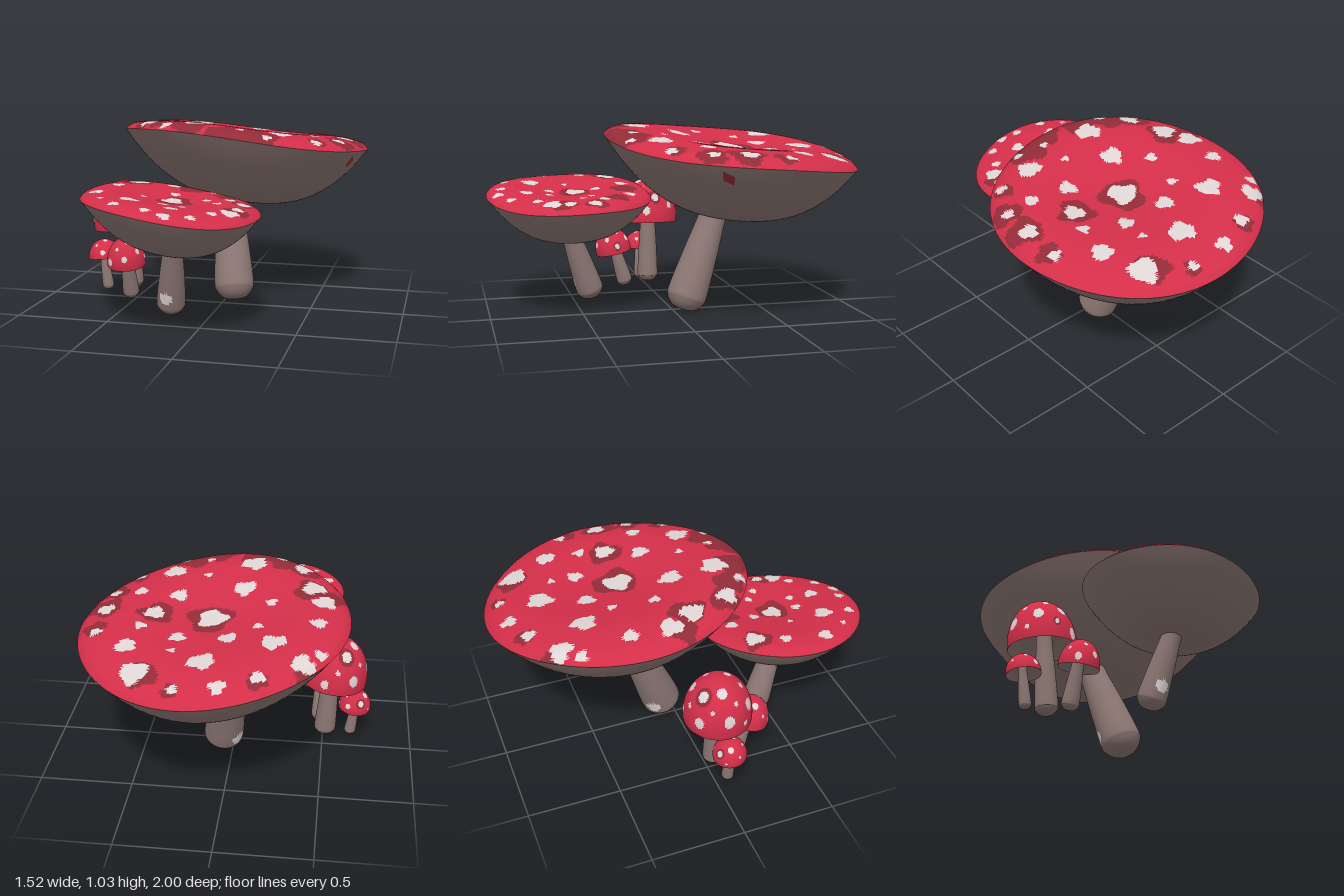
import * as THREE from 'three';

const mat = (name, color) => Object.assign(new THREE.MeshStandardMaterial({ color }), { name });
const V = (x, y, z) => new THREE.Vector3(x, y, z);

// Sort the faces into material groups; pick(centroid) returns a material index
function paint(geo, pick, count) {
  const idx = geo.index.array, pos = geo.attributes.position, lists = Array.from({ length: count }, () => []);
  const a = V(), b = V();
  for (let i = 0; i < idx.length; i += 3) {
    a.set(0, 0, 0);
    for (let k = 0; k < 3; k++) a.add(b.fromBufferAttribute(pos, idx[i + k]));
    lists[pick(a.divideScalar(3))].push(idx[i], idx[i + 1], idx[i + 2]);
  }
  geo.setIndex(lists.flat());
  let start = 0;
  lists.forEach((l, m) => { if (l.length) geo.addGroup(start, l.length, m); start += l.length; });
  return geo;
}

// Round surface from rings: f(t, angle) with t from centre (0) to rim (1)
function disc(f, rings, segs, down) {
  const p = [], idx = [];
  for (let i = 0; i <= rings; i++)
    for (let j = 0; j < segs; j++) p.push(...f(i / rings, j / segs * Math.PI * 2));
  for (let i = 0; i < rings; i++)
    for (let j = 0; j < segs; j++) {
      const n = (j + 1) % segs, a = i * segs + j, d = i * segs + n, b = a + segs, c = d + segs;
      if (down) idx.push(a, b, c, a, c, d); else idx.push(a, c, b, a, d, c);
    }
  const g = new THREE.BufferGeometry();
  g.setAttribute('position', new THREE.Float32BufferAttribute(p, 3));
  g.setIndex(idx);
  g.computeVertexNormals();
  return g;
}

// Is (x, z) inside one of the blobs [x, z, radius], with wobbly outlines
const inBlobs = (blobs, x, z) => blobs.some(([bx, bz, r], i) => {
  const dx = x - bx, dz = z - bz, phi = Math.atan2(dz, dx);
  return Math.hypot(dx, dz) < r * (1 + 0.13 * Math.sin(3 * phi + i * 2) + 0.08 * Math.sin(5 * phi + i));
});

// Spots [x, z, radius] and dark bruises of the two wide caps
const bigSpots = [
  [-.02, -.9, .04], [.19, -.9, .025], [-.2, -.84, .035], [.39, -.78, .068], [.08, -.71, .065], [-.4, -.73, .055],
  [-.48, -.65, .03], [.24, -.61, .02], [.47, -.58, .05], [-.25, -.57, .06], [-.02, -.49, .045], [.23, -.48, .04],
  [.65, -.45, .03], [-.46, -.4, .04], [-.16, -.4, .025], [.43, -.4, .03], [.64, -.24, .045], [.38, -.27, .05],
  [.08, -.29, .073], [-.21, -.19, .03], [-.48, -.2, .058], [-.42, -.07, .058], [-.06, -.05, .055], [.28, -.1, .045],
  [.49, -.07, .035], [.63, -.06, .03], [.15, .08, .02], [.34, .14, .06], [-.36, .14, .05], [-.09, .18, .065],
  [.53, .13, .03], [.16, .25, .02], [-.24, .26, .03], [.3, .29, .025],
];
const bigBruises = [
  [.09, -.3, .115], [.37, -.27, .09], [-.41, -.09, .09], [.1, .34, .1], [.25, .27, .1], [-.1, .29, .09],
  [-.25, .2, .08], [-.38, .12, .08], [.35, -.8, .08], [-.42, -.78, .06], [.65, -.22, .09], [.63, -.05, .075],
  [-.52, -.15, .07], [.66, -.42, .06], [.2, -.91, .04], [-.2, -.86, .05], [.53, .1, .05],
];
const wideSpots = [
  [-.13, .52, .05], [-.38, .3, .05], [-.44, .45, .03], [-.48, .66, .035], [-.28, .75, .045], [-.14, .66, .025],
  [-.04, .67, .02], [-.06, .79, .035], [.2, .68, .045], [.13, .75, .025], [.22, .59, .03], [.22, .46, .035],
  [.1, .51, .02], [.03, .45, .02], [-.15, .4, .025], [.14, .4, .025], [-.31, .89, .025], [-.15, .92, .025],
  [-.05, .94, .03], [.06, .88, .025], [-.27, .56, .015], [-.41, .8, .015], [-.2, .25, .03], [.02, .24, .03],
];
const wideBruises = [[-.11, .53, .085], [-.39, .31, .075], [.22, .45, .06], [.22, .62, .065], [-.1, .25, .07], [.1, .32, .06]];

export function createModel() {
  const red = mat('cap red', 0xd42f49), dark = mat('bruise red', 0x922c38);
  const white = mat('spot white', 0xe0d6d6), flesh = mat('stem grey brown', 0x8c7773);
  const root = new THREE.Group();
  root.name = 'mushroomCluster';
  const add = (parent, name, geo, m) => {
    const mesh = new THREE.Mesh(geo, m);
    mesh.name = name;
    parent.add(mesh);
  };

  // Leaning stem with a swollen rounded foot; marks are [point, radius]
  function stem(name, base, top, R, marks = []) {
    const dir = top.clone().sub(base), L = dir.length();
    const profile = new THREE.SplineCurve([[0, 0], [.55, .1], [.92, .5], [1, 1.0]].map(([r, y]) => new THREE.Vector2(r * R, y * R))
      .concat([new THREE.Vector2(.86 * R, L * .5), new THREE.Vector2(.7 * R, L * .8), new THREE.Vector2(.72 * R, L)])).getPoints(50);
    profile[0].x = 0;
    const g = new THREE.LatheGeometry(profile, 48);
    g.applyQuaternion(new THREE.Quaternion().setFromUnitVectors(V(0, 1, 0), dir.normalize()));
    g.translate(base.x, base.y, base.z);
    add(root, name, paint(g, c => marks.some(([p, r]) => p.distanceTo(c) < r) ? 1 : 0, 2), [flesh, white]);
  }

  // Wide wavy cap: dished top and bowl-shaped underside
  function wideCap(name, cx, cz, R, rim, tiltX, tiltZ, spots, bruises, mark) {
    const group = new THREE.Group();
    group.name = name;
    root.add(group);
    const rise = new THREE.SplineCurve([[0, .035], [.15, .04], [.4, .07], [.65, .092], [.85, .075], [.95, .045], [1, 0]]
      .map(p => new THREE.Vector2(...p)));
    const point = (t, a, h) => {
      const wave = .018 * t * t * Math.cos(3 * (a - 1.88));
      return [cx + R * t * Math.cos(a), rim + t * (tiltX * Math.cos(a) + tiltZ * Math.sin(a)) + R * (wave + h), cz + R * t * Math.sin(a)];
    };
    const top = disc((t, a) => {
      const p = rise.getPoint(t);
      return point(t === 1 ? 1 : p.x, a, p.y);
    }, 56, 168);
    add(group, name + 'Top', paint(top, c => inBlobs(spots, c.x, c.z) ? 1 : inBlobs(bruises, c.x, c.z) ? 2 : 0, 3), [red, white, dark]);
    const under = disc((t, a) => point(t, a, -.53 * (1 - t ** 2.7) + .05 * Math.exp(-((t / .15) ** 2))), 36, 72, true);
    add(group, name + 'Underside', paint(under, c => mark && mark.distanceTo(c) < .035 ? 1 : 0, 2), [flesh, dark]);
  }

  // Small domed cap with a hollow underside
  function domeCap(name, centre, R, H, rotX, rotZ, count, size) {
    const group = new THREE.Group();
    group.name = name;
    group.position.copy(centre);
    group.rotation.set(rotX, 0, rotZ);
    root.add(group);
    const dots = Array.from({ length: count }, (_, i) => {
      const y = .95 - .9 * (i + .3) / count, r = Math.sqrt(1 - y * y), a = i * 2.4 + 1;
      return [V(r * Math.cos(a), y, r * Math.sin(a)), size * (.7 + .3 * Math.sin(i * 1.9))];
    });
    const near = (c, k) => dots.some(([d, s], i) => (k === 1 || i % 6 === 4) && d.distanceTo(c) < s * k);
    const top = disc((t, a) => {
      const u = t * 1.68;
      return [R * Math.sin(u) * Math.cos(a), H * Math.cos(u), R * Math.sin(u) * Math.sin(a)];
    }, 36, 96);
    const unit = c => c.clone().divide(V(R, H, R));
    add(group, name + 'Top', paint(top, c => near(unit(c), 1) ? 1 : near(unit(c), 1.7) ? 2 : 0, 3), [red, white, dark]);
    const under = disc((t, a) => [R * t * .994 * Math.cos(a), H * (.4 * (1 - t ** 2.5) - .109), R * t * .994 * Math.sin(a)], 14, 48, true);
    add(group, name + 'Underside', under, flesh);
  }

  // Largest mushroom at the back
  wideCap('largeCap', .07, -.31, .69, .9, -.055, .07, bigSpots, bigBruises, V(.67, .82, -.12));
  stem('largeStem', V(.065, .02, -.04), V(-.03, .64, -.28), .11, [[V(-.02, .11, -.13), .045], [V(.07, .07, .06), .02]]);

  // Second wide mushroom at the front
  wideCap('mediumCap', -.13, .55, .45, .65, -.055, 0, wideSpots, wideBruises);
  stem('mediumStem', V(-.175, .065, .42), V(-.115, .5, .57), .075, [[V(-.17, .16, .51), .036]]);

  // Three small domed mushrooms at the side
  domeCap('domeCap', V(-.55, .45, .025), .18, .235, 0, .1, 22, .15);
  stem('domeStem', V(-.51, .07, .03), V(-.54, .56, .02), .06);
  domeCap('smallCap', V(-.475, .275, .245), .105, .135, .2, 0, 13, .17);
  stem('smallStem', V(-.475, .06, .17), V(-.475, .33, .25), .045);
  domeCap('tinyCap', V(-.672, .25, .05), .09, .098, -.1, .1, 11, .18);
  stem('tinyStem', V(-.652, .06, .05), V(-.682, .29, .05), .032);

  return root;
}
